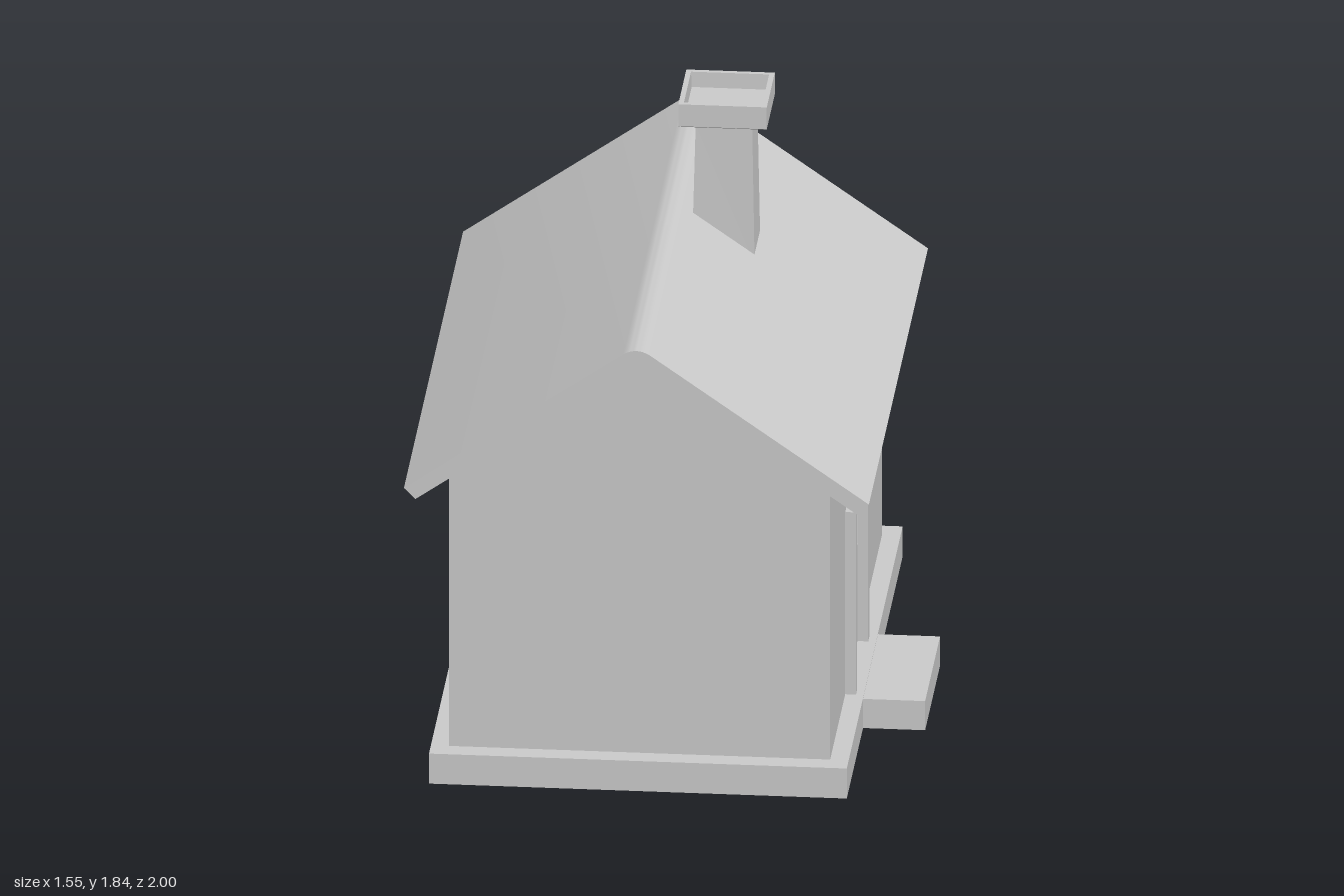
import * as THREE from 'three';
import { toCreasedNormals } from 'three/addons/utils/BufferGeometryUtils.js';

const MID = -0.06;                    // x of the ridge
const X0 = -0.648, X1 = 0.525, Z = 0.88, FLOOR = 0.1;
const SLOPE = 0.6985, PEAK = 1.445;   // underside of the roof
const roofY = (x) => PEAK - Math.abs(x - MID) * SLOPE;

const solid = new THREE.MeshStandardMaterial({ color: 0xcccccc });
const thin = new THREE.MeshStandardMaterial({ color: 0xcccccc, side: THREE.DoubleSide });

function add(parent, name, geometry, material = solid) {
  const mesh = new THREE.Mesh(geometry, material);
  mesh.name = name;
  parent.add(mesh);
  return mesh;
}

const polygon = (pts) => new THREE.Shape(pts.map(([x, y]) => new THREE.Vector2(x, y)));

// Strips joining rectangles [x0, x1, y0, y1, z]; the first may be filled in.
function rectangleLoft(rings, filled) {
  const corners = rings.map(([x0, x1, y0, y1, z]) =>
    [[x0, y0, z], [x1, y0, z], [x1, y1, z], [x0, y1, z]]);
  const pos = [];
  const quad = (a, b, c, d) => pos.push(...a, ...b, ...c, ...a, ...c, ...d);
  if (filled) quad(...corners[0]);
  for (let i = 0; i + 1 < corners.length; i++) {
    for (let k = 0; k < 4; k++) {
      const n = (k + 1) % 4;
      quad(corners[i][k], corners[i][n], corners[i + 1][n], corners[i + 1][k]);
    }
  }
  const geo = new THREE.BufferGeometry();
  geo.setAttribute('position', new THREE.Float32BufferAttribute(pos, 3));
  geo.computeVertexNormals();
  return geo;
}

// Flat wall facing local +z, with an optional sunken pane [x0, x1, y0, y1].
function wall(parent, name, outline, pane, paneName) {
  const group = new THREE.Group();
  group.name = name + 'Group';
  const shape = polygon(outline);
  if (pane) {
    const [a, b, c, d] = pane, bevel = 0.012;
    shape.holes.push(polygon([[a, c], [a, d], [b, d], [b, c]]));
    add(group, paneName, rectangleLoft([
      [a + bevel, b - bevel, c + bevel, d - bevel, -0.02],
      [a, b, c, d, 0],
    ], true), thin);
  }
  add(group, name, new THREE.ShapeGeometry(shape), thin);
  parent.add(group);
  return group;
}

export function createModel() {
  const house = new THREE.Group();
  house.name = 'house';

  // Foundation skirt with a ledge, open underneath
  const outer = [-0.703, 0.582, -0.945, 0.945];
  add(house, 'foundation', rectangleLoft([
    [...outer, 0], [...outer, FLOOR], [X0, X1, -Z, Z, FLOOR],
  ]).rotateX(-Math.PI / 2), thin);

  // Door step
  add(house, 'doorStep', new THREE.BoxGeometry(0.193, 0.097, 0.505)
    .translate(0.6765, 0.0485, 0.142));

  // Gable walls; the back one has a window
  const gable = (s) => [[s * X0, FLOOR], [s * X1, FLOOR], [s * X1, roofY(X1)],
    [s * MID, PEAK], [s * X0, roofY(X0)]];
  wall(house, 'frontWall', gable(1)).position.z = Z;
  const back = wall(house, 'backWall', gable(-1), [-0.42, -0.035, 0.288, 0.688], 'backWindow');
  back.position.z = -Z;
  back.rotation.y = Math.PI;

  // Side walls; the one on +x holds the door
  const side = (x) => [[-Z, FLOOR], [Z, FLOOR], [Z, roofY(x)], [-Z, roofY(x)]];
  const plain = wall(house, 'rightWall', side(X0));
  plain.position.x = X0;
  plain.rotation.y = -Math.PI / 2;
  const doorSide = wall(house, 'leftWall', side(X1), [-0.335, 0.045, 0.425, 0.685], 'doorWindow');
  doorSide.position.x = X1;
  doorSide.rotation.y = Math.PI / 2;

  // Door frame: two jambs and a lintel
  add(doorSide, 'doorFrame', new THREE.ExtrudeGeometry(polygon([
    [-0.37, FLOOR], [-0.335, FLOOR], [-0.335, 0.685], [0.045, 0.685],
    [0.045, FLOOR], [0.08, FLOOR], [0.08, 0.707], [-0.37, 0.707],
  ]), { depth: 0.033, bevelEnabled: false }));

  // Roof slab with a rounded ridge
  const roof = new THREE.Shape();
  roof.moveTo(MID, PEAK);
  roof.lineTo(MID - 0.68, 0.97);
  roof.lineTo(MID - 0.715, 1.006);
  roof.lineTo(MID - 0.04, 1.4775);
  roof.quadraticCurveTo(MID, 1.502, MID + 0.04, 1.4775);
  roof.lineTo(MID + 0.715, 1.006);
  roof.lineTo(MID + 0.68, 0.97);
  add(house, 'roof', toCreasedNormals(
    new THREE.ExtrudeGeometry(roof, { depth: 2, bevelEnabled: false, curveSegments: 8 })
      .translate(0, 0, -1), 0.5));

  // Chimney: square turned profile, with a hollow cap and a foot cut to the roof
  const profile = [[0.095, 0], [0.087, 1.748], [0.128, 1.757], [0.136, 1.762],
    [0.136, 1.835], [0.12, 1.835], [0.118, 1.785], [0, 1.785]];
  const chimney = new THREE.LatheGeometry(
    profile.map(([r, y]) => new THREE.Vector2(r * Math.SQRT2, y)), 4)
    .rotateY(Math.PI / 4).translate(0.103, 0, -0.256).toNonIndexed();
  const p = chimney.attributes.position;
  for (let i = 0; i < p.count; i++) {
    if (p.getY(i) < 0.5) p.setY(i, roofY(p.getX(i)) + 0.03);
  }
  chimney.computeVertexNormals();
  add(house, 'chimney', chimney);

  return house;
}
